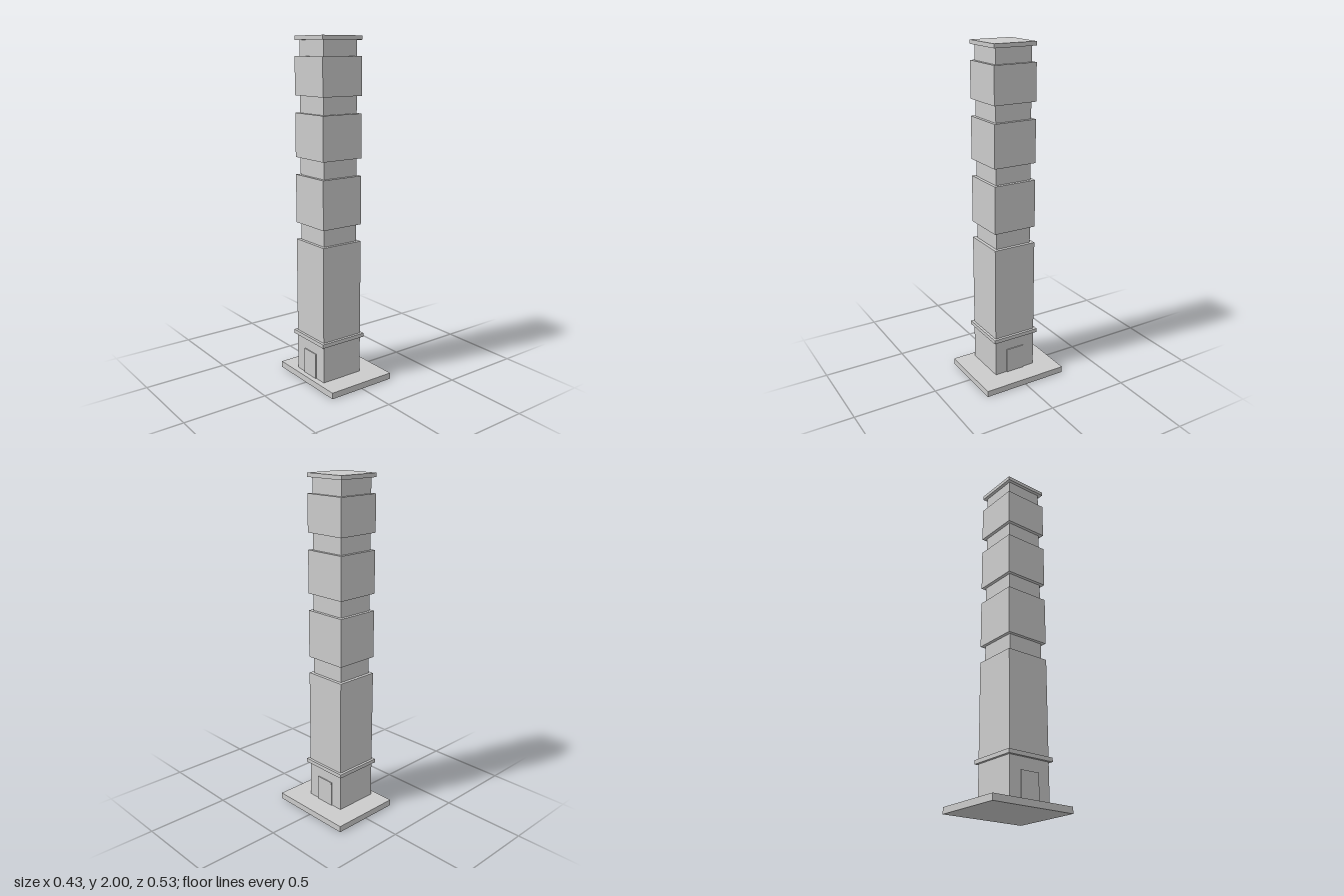
import * as THREE from 'three';

export function createModel() {
  const model = new THREE.Group();
  const material = new THREE.MeshStandardMaterial({ color: 0xcccccc, flatShading: true });
  const towerX = -0.047;

  // Box spanning bottom..top, centred on (x, z = 0)
  function block(name, width, depth, bottom, top, x = towerX) {
    const mesh = new THREE.Mesh(new THREE.BoxGeometry(width, top - bottom, depth), material);
    mesh.name = name;
    mesh.position.set(x, (bottom + top) / 2, 0);
    model.add(mesh);
  }

  // Ground slab, with the tower set off to one side
  block('baseSlab', 0.43, 0.527, 0, 0.037, 0);

  // Wide storeys, the last one being the roof cap
  const full = 0.265;
  const storeys = [[0.037, 0.848], [0.948, 1.23], [1.33, 1.58], [1.677, 1.89], [1.977, 2]];
  storeys.forEach(([bottom, top], i) => {
    block(i === storeys.length - 1 ? 'roofCap' : `storey${i + 1}`, full, full, bottom, top);
    // Recessed neck up to the next storey
    if (i < storeys.length - 1) block(`neck${i + 1}`, 0.226, 0.226, top, storeys[i + 1][0]);
  });

  // Projecting string course above the entrance level
  block('ledge', 0.296, 0.296, 0.26, 0.283);

  // Shallow door panels on both sides
  for (const side of [-1, 1]) {
    block(side > 0 ? 'leftDoor' : 'rightDoor', 0.012, 0.117, 0.037, 0.19, towerX + side * full / 2);
  }
  return model;
}
